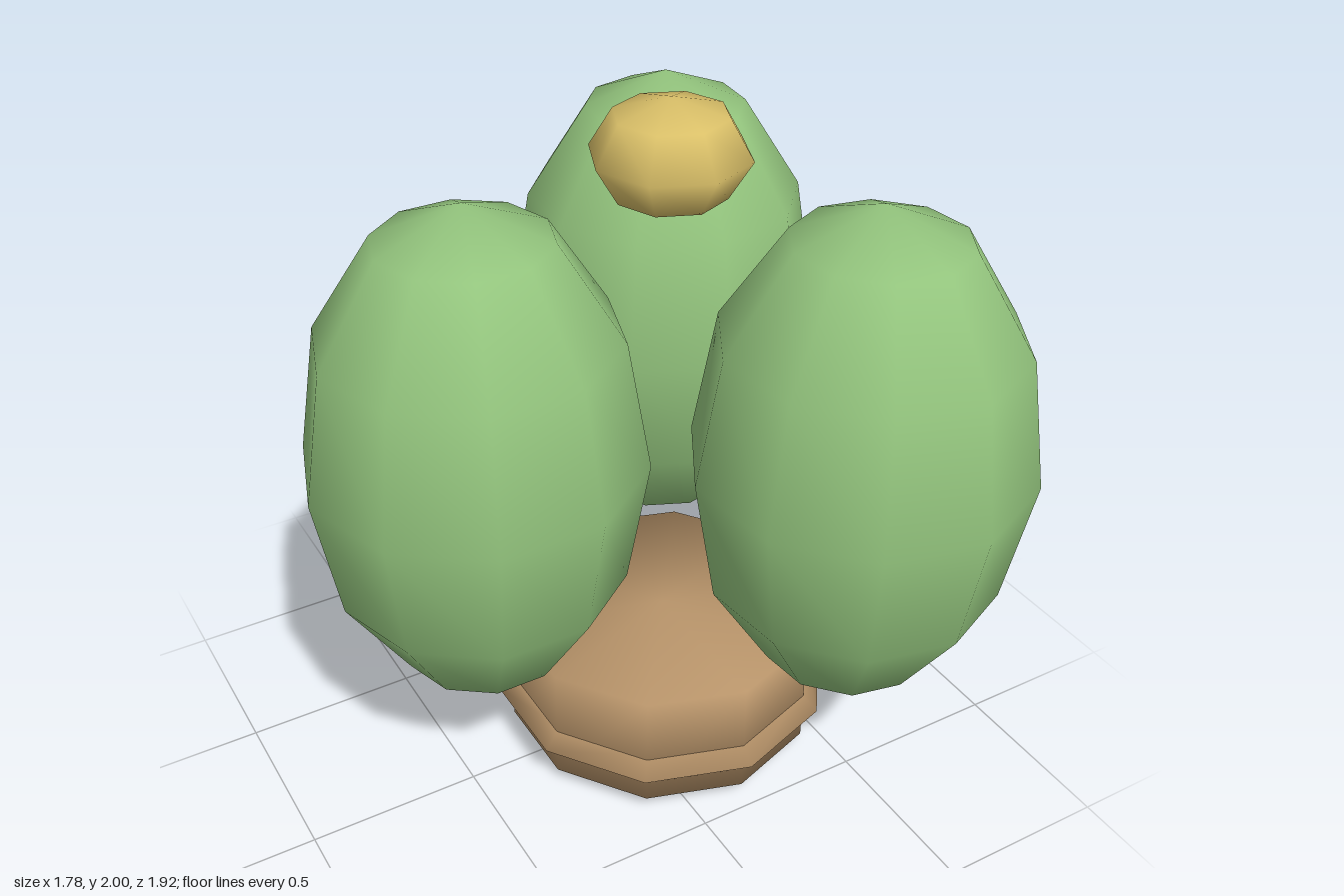
import * as THREE from 'three';
import { mergeVertices } from 'three/addons/utils/BufferGeometryUtils.js';

const AXIS_X = 0.148;

function material(name, color) {
  const m = new THREE.MeshStandardMaterial({ color });
  m.name = name;
  return m;
}

// Weld caps and wall so the shading runs softly over the rims.
function softened(geometry) {
  geometry.deleteAttribute('uv');
  geometry.deleteAttribute('normal');
  const welded = mergeVertices(geometry);
  welded.computeVertexNormals();
  return welded;
}

export function createModel() {
  const model = new THREE.Group();
  const green = material('leaf green', 0x93c47d);
  const clay = material('clay brown', 0xb8946a);
  const yellow = material('flower yellow', 0xd9bf68);

  function add(parent, name, geometry, mat, x, y, z) {
    const mesh = new THREE.Mesh(geometry, mat);
    mesh.name = name;
    mesh.position.set(x, y, z);
    parent.add(mesh);
    return mesh;
  }

  // Pot: ten-sided wall, pointed rim band and a rounded underside
  const pot = new THREE.Group();
  pot.name = 'pot';
  pot.position.x = AXIS_X;
  model.add(pot);
  add(pot, 'potBody', softened(new THREE.CylinderGeometry(0.46, 0.46, 0.36, 10)), clay, 0, 0.228, 0);
  const band = new THREE.TorusGeometry(0.45, 0.055, 4, 10);
  band.rotateX(Math.PI / 2).rotateY(Math.PI / 2);
  add(pot, 'potBand', band, clay, 0, 0.156, 0);
  const underside = new THREE.SphereGeometry(1, 10, 6).scale(0.46, 0.17, 0.46);
  add(pot, 'potUnderside', underside, clay, 0, 0.17, 0);

  // Three tall lobes spaced evenly round the axis
  const lobe = new THREE.SphereGeometry(1, 10, 6).scale(0.46, 0.72, 0.46);
  const ring = 0.58;
  const lobes = [
    ['rightLobe', Math.PI, 0],
    ['backLeftLobe', Math.PI / 3, Math.PI / 15],
    ['frontLeftLobe', -Math.PI / 3, -Math.PI / 15],
  ];
  for (const [name, angle, turn] of lobes) {
    const mesh = add(model, name, lobe, green,
      AXIS_X + ring * Math.cos(angle), 1.13, -ring * Math.sin(angle));
    mesh.rotation.y = turn;
  }

  // Flower bud over the middle
  const bud = new THREE.SphereGeometry(1, 8, 4).scale(0.215, 0.15, 0.215);
  add(model, 'flowerBud', bud, yellow, AXIS_X, 1.85, 0);

  return model;
}
